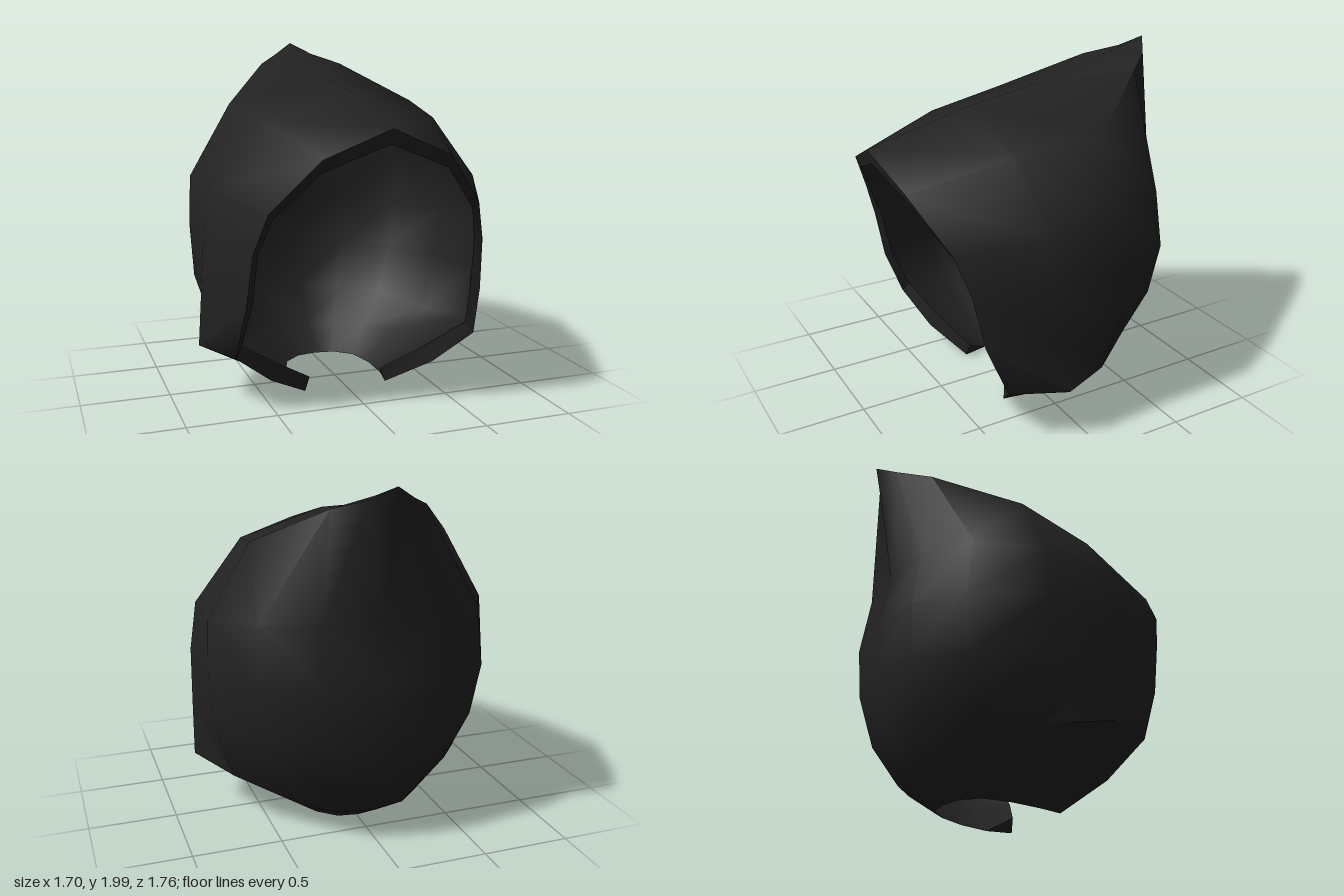
import * as THREE from 'three';
import { toCreasedNormals } from 'three/addons/utils/BufferGeometryUtils.js';

const LINING_GAP = 0.03;

// Half cross-sections (+x side) from the face opening to the centre of the back,
// each running from the neck edge up to the ridge.
const SECTIONS = [
  [[.25, .01, .20], [.49, .15, .34], [.71, .33, .43], [.68, .63, .55], [.655, .93, .61], [.59, 1.15, .68], [.35, 1.43, .82], [0, 1.58, .88]],
  [[.28, .01, .05], [.56, .17, .10], [.85, .33, .13], [.84, .65, .18], [.83, .95, .22], [.79, 1.23, .22], [.50, 1.58, .27], [0, 1.73, .28]],
  [[.27, .02, -.12], [.47, .16, -.19], [.69, .30, -.19], [.80, .65, -.22], [.82, .95, -.22], [.81, 1.24, -.22], [.57, 1.65, -.22], [0, 1.81, -.17]],
  [[.22, .03, -.27], [.35, .16, -.41], [.49, .36, -.48], [.60, .65, -.56], [.64, .95, -.60], [.62, 1.28, -.56], [.26, 1.87, -.64], [0, 1.92, -.60]],
  [[.12, .03, -.36], [.20, .16, -.55], [.28, .38, -.68], [.34, .68, -.75], [.35, .97, -.77], [.33, 1.30, -.72], [.12, 1.93, -.80], [0, 2, -.88]],
  [[0, .03, -.38], [0, .16, -.59], [0, .39, -.745], [0, .70, -.81], [0, .98, -.80], [0, 1.30, -.75], [0, 1.65, -.81], [0, 2, -.88]],
];

// Inner edge of the thick lip around the face
const LIP = [[.22, .09, .19], [.45, .24, .31], [.67, .39, .40], [.635, .65, .52], [.62, .93, .58], [.56, 1.12, .66], [.35, 1.36, .79], [0, 1.5, .86]];

// Mirror a half section into a full arch over the ridge
const toArch = (half) => [
  ...half,
  ...half.slice(0, -1).reverse().map(([x, y, z]) => [-x, y, z]),
];

function makeGeometry(points, index) {
  const g = new THREE.BufferGeometry();
  g.setAttribute('position', new THREE.Float32BufferAttribute(points.flat(), 3));
  g.setIndex(index);
  return g;
}

// Outer skin: join neighbouring arches, sharing points that coincide
function buildSkin() {
  const arches = SECTIONS.map(toArch);
  const n = arches[0].length;
  const points = [], ids = new Map();
  const id = arches.flat().map((p) => {
    const key = p.map((v) => v.toFixed(3)).join().replace('-0.000', '0.000');
    if (!ids.has(key)) ids.set(key, points.push(p) - 1);
    return ids.get(key);
  });
  const faces = [];
  const triangle = (...corners) => {
    const t = corners.map((k) => id[k]);
    if (new Set(t).size === 3) faces.push(...t);
  };
  for (let c = 0; c < arches.length - 1; c++) {
    for (let r = 0; r < n - 1; r++) {
      const a = c * n + r, b = a + n;
      // mirror the quad diagonals about the ridge
      if (r < (n - 1) / 2) {
        triangle(a, b, a + 1);
        triangle(b, b + 1, a + 1);
      } else {
        triangle(a, b, b + 1);
        triangle(a, b + 1, a + 1);
      }
    }
  }
  return { points, faces };
}

export function createModel() {
  const group = new THREE.Group();
  group.name = 'hood';
  const cloth = new THREE.MeshStandardMaterial({ color: 0x222222, side: THREE.DoubleSide });
  cloth.name = 'black cloth';

  const add = (name, points, index, crease) => {
    const mesh = new THREE.Mesh(toCreasedNormals(makeGeometry(points, index), crease), cloth);
    mesh.name = name;
    group.add(mesh);
  };

  const { points: outer, faces } = buildSkin();
  const smooth = makeGeometry(outer, faces);
  smooth.computeVertexNormals();
  const normals = smooth.attributes.normal;

  // Lining: starts at the lip, follows the skin closely and meets it at the neck edge
  const lip = toArch(LIP);
  const inner = outer.map((p, i) => {
    if (i < lip.length) return lip[i];
    const gap = p[1] < 0.05 ? 0 : LINING_GAP;
    const normal = new THREE.Vector3().fromBufferAttribute(normals, i);
    return new THREE.Vector3(...p).addScaledVector(normal, -gap).toArray();
  });
  const reversed = [];
  for (let i = 0; i < faces.length; i += 3) reversed.push(faces[i], faces[i + 2], faces[i + 1]);

  // Hem: closes the lip between skin and lining around the face
  const hem = [], count = outer.length, last = lip.length - 1;
  for (let a = 0; a < last; a++) {
    const b = a + 1;
    hem.push(a, b, b + count, a, b + count, a + count);
  }
  // small end caps at the two neck tips
  hem.push(0, count, lip.length, last, lip.length + last, last + count);

  add('outerHood', outer, faces, 1.0);
  add('innerLining', inner, reversed, 1.3);
  add('openingHem', [...outer, ...inner], hem, 0.6);
  return group;
}
